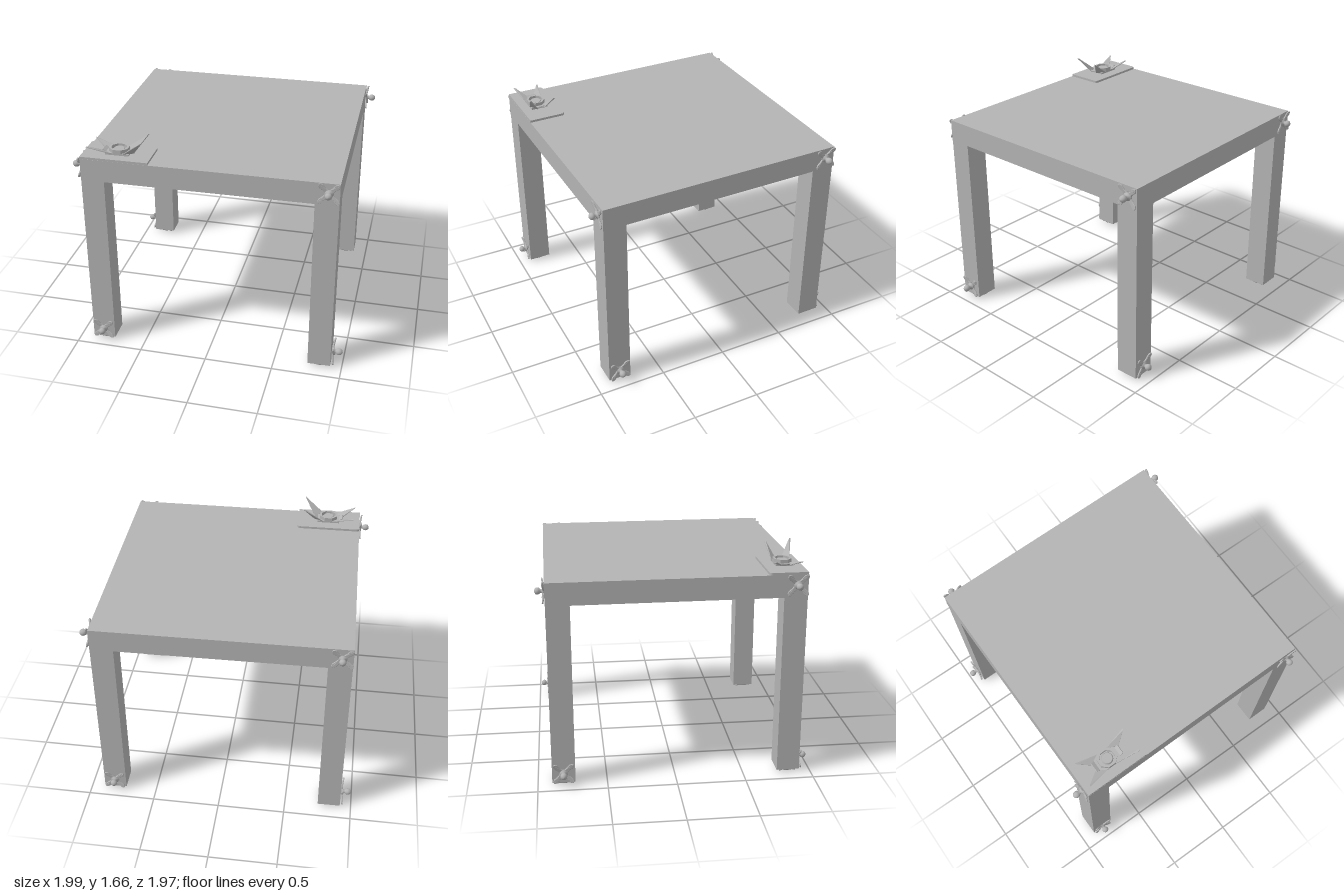
import * as THREE from 'three';
import { ConvexGeometry } from 'three/addons/geometries/ConvexGeometry.js';

const grey = new THREE.MeshStandardMaterial({ color: 0xb3b3b3 });
grey.name = 'plain grey';

function add(parent, geometry, name, x = 0, y = 0, z = 0) {
  const mesh = new THREE.Mesh(geometry, grey);
  mesh.name = name;
  mesh.position.set(x, y, z);
  parent.add(mesh);
  return mesh;
}

// Four-armed star plate whose arm tips curl outward
function starGeometry(size, depth, curl) {
  const arm = [[0.3, 0], [0.55, 0.32], [0.78, 0.5], [0.92, 0.62], [1, 0.8], [0.96, 0.96]];
  const quarter = [...arm, ...arm.slice(0, -1).reverse().map(([x, y]) => [y, x])].slice(0, -1);
  const points = [];
  for (let i = 0; i < 4; i++) {
    for (const [x, y] of quarter) {
      points.push(new THREE.Vector2(x, y).multiplyScalar(size)
        .rotateAround(new THREE.Vector2(), i * Math.PI / 2));
    }
  }
  const geo = new THREE.ExtrudeGeometry(new THREE.Shape(points), {
    depth, bevelThickness: 0.002, bevelSize: 0.002, bevelSegments: 1,
  });
  const p = geo.attributes.position;
  for (let i = 0; i < p.count; i++) {
    const r = Math.hypot(p.getX(i), p.getY(i)) / size;
    p.setZ(i, p.getZ(i) + curl * r * r);
  }
  geo.computeVertexNormals();
  return geo;
}

// Star with a round knob on a stem, facing +z
function createOrnament() {
  const g = new THREE.Group();
  g.name = 'starKnob';
  add(g, starGeometry(0.073, 0.007, 0.006), 'star', 0, 0, 0.002);
  const profile = [[0, 0], [0.032, 0.002], [0.03, 0.014], [0.014, 0.018], [0.013, 0.03],
    [0.021, 0.038], [0.025, 0.051], [0.022, 0.065], [0.012, 0.075], [0, 0.078]];
  const knob = add(g, new THREE.LatheGeometry(profile.map(p => new THREE.Vector2(...p)), 20), 'knob');
  knob.rotation.x = Math.PI / 2;
  return g;
}

// Foot disc with a flattened star underneath
function createFoot() {
  const g = new THREE.Group();
  g.name = 'foot';
  const profile = [[0, 0.004], [0.06, 0.004], [0.074, 0.009], [0.079, 0.018], [0.079, 0.03]];
  add(g, new THREE.LatheGeometry(profile.map(p => new THREE.Vector2(...p)), 24), 'footDisc');
  const star = add(g, starGeometry(0.062, 0.006, 0), 'footStar', 0, 0.01, 0);
  star.rotation.x = Math.PI / 2;
  const ring = add(g, new THREE.TorusGeometry(0.028, 0.005, 6, 20), 'footRing', 0, 0.005, 0);
  ring.rotation.x = Math.PI / 2;
  return g;
}

// Winged ornament lying on a thin base plate
function createWingedPiece() {
  const g = new THREE.Group();
  g.name = 'wingedPiece';

  const shape = new THREE.Shape();
  const w = 0.245, d = 0.137, r = 0.025;
  shape.moveTo(-w, -d).lineTo(w, -d).lineTo(w, d - r);
  shape.quadraticCurveTo(w, d, w - r, d);
  shape.lineTo(-w + r, d);
  shape.quadraticCurveTo(-w, d, -w, d - r);
  const plate = add(g, new THREE.ExtrudeGeometry(shape, { depth: 0.018, bevelEnabled: false }), 'basePlate');
  plate.rotation.x = -Math.PI / 2;

  const piece = new THREE.Group();
  piece.name = 'wings';
  piece.position.set(0.005, 0.018, 0.005);
  g.add(piece);
  add(piece, new THREE.BoxGeometry(0.17, 0.014, 0.125), 'tray', 0, 0.009, 0);

  // Octagonal frame around a central boss
  const frame = new THREE.Shape();
  const hole = new THREE.Path();
  for (let i = 0; i < 8; i++) {
    const a = (i + 0.5) * Math.PI / 4;
    frame[i ? 'lineTo' : 'moveTo'](0.074 * Math.cos(a), 0.068 * Math.sin(a));
    hole[i ? 'lineTo' : 'moveTo'](0.057 * Math.cos(a), 0.053 * Math.sin(a));
  }
  frame.holes.push(hole);
  const ring = add(piece, new THREE.ExtrudeGeometry(frame, { depth: 0.03, bevelEnabled: false }),
    'octagonFrame', 0, 0.012, 0);
  ring.rotation.x = -Math.PI / 2;
  add(piece, new THREE.CylinderGeometry(0.037, 0.043, 0.018, 20), 'boss', 0, 0.024, 0);

  // Pointed wings: [tip x, tip y, tip z]
  const tips = [[0.195, 0.13, 0.108], [0.195, 0.115, -0.088], [-0.21, 0.06, 0.1], [-0.2, 0.055, -0.092]];
  for (const [x, y, z] of tips) {
    const sx = Math.sign(x), sz = Math.sign(z);
    const pts = [];
    for (const t of [0, 0.007]) {
      pts.push(new THREE.Vector3(sx * 0.115, 0.012 + t, sz * 0.025));
      pts.push(new THREE.Vector3(sx * 0.04, 0.008 + t, sz * 0.064));
      pts.push(new THREE.Vector3(x, y + t * 0.5, z));
      pts.push(new THREE.Vector3(x - sx * 0.005, y + t * 0.5, z - sz * 0.012));
    }
    add(piece, new ConvexGeometry(pts), 'wing');
  }
  // Side lips linking the wings
  for (const s of [-1, 1]) {
    const lip = add(piece, new THREE.BoxGeometry(0.03, 0.008, 0.07), 'sideLip', s * 0.098, 0.018, 0);
    lip.rotation.z = s * 0.5;
  }
  return g;
}

export function createModel() {
  const model = new THREE.Group();
  model.name = 'table';
  const table = new THREE.Group();
  table.name = 'tableBody';
  table.rotation.y = 0.011;
  model.add(table);

  const half = 0.908;
  add(table, new THREE.BoxGeometry(2 * half, 0.163, 2 * half), 'tableTop', 0, 1.4315, 0);

  for (const sx of [-1, 1]) {
    for (const sz of [-1, 1]) {
      add(table, new THREE.BoxGeometry(0.167, 1.335, 0.167), 'leg', sx * 0.8235, 0.6875, sz * 0.8235);
      const foot = createFoot();
      foot.position.set(sx * 0.8235, 0, sz * 0.8235);
      table.add(foot);
    }
  }

  // Each side carries one knob high on its right and one low on its left
  for (let i = 0; i < 4; i++) {
    const side = new THREE.Group();
    side.name = 'sideKnobs';
    side.rotation.y = i * Math.PI / 2;
    for (const [x, y] of [[0.834, 1.44], [-0.824, 0.095]]) {
      const ornament = createOrnament();
      ornament.position.set(x, y, half - 0.001);
      ornament.scale.z = i % 2 ? 1.03 : 0.88;
      side.add(ornament);
    }
    table.add(side);
  }

  const winged = createWingedPiece();
  winged.position.set(-0.663, 1.512, 0.77);
  table.add(winged);
  return model;
}
